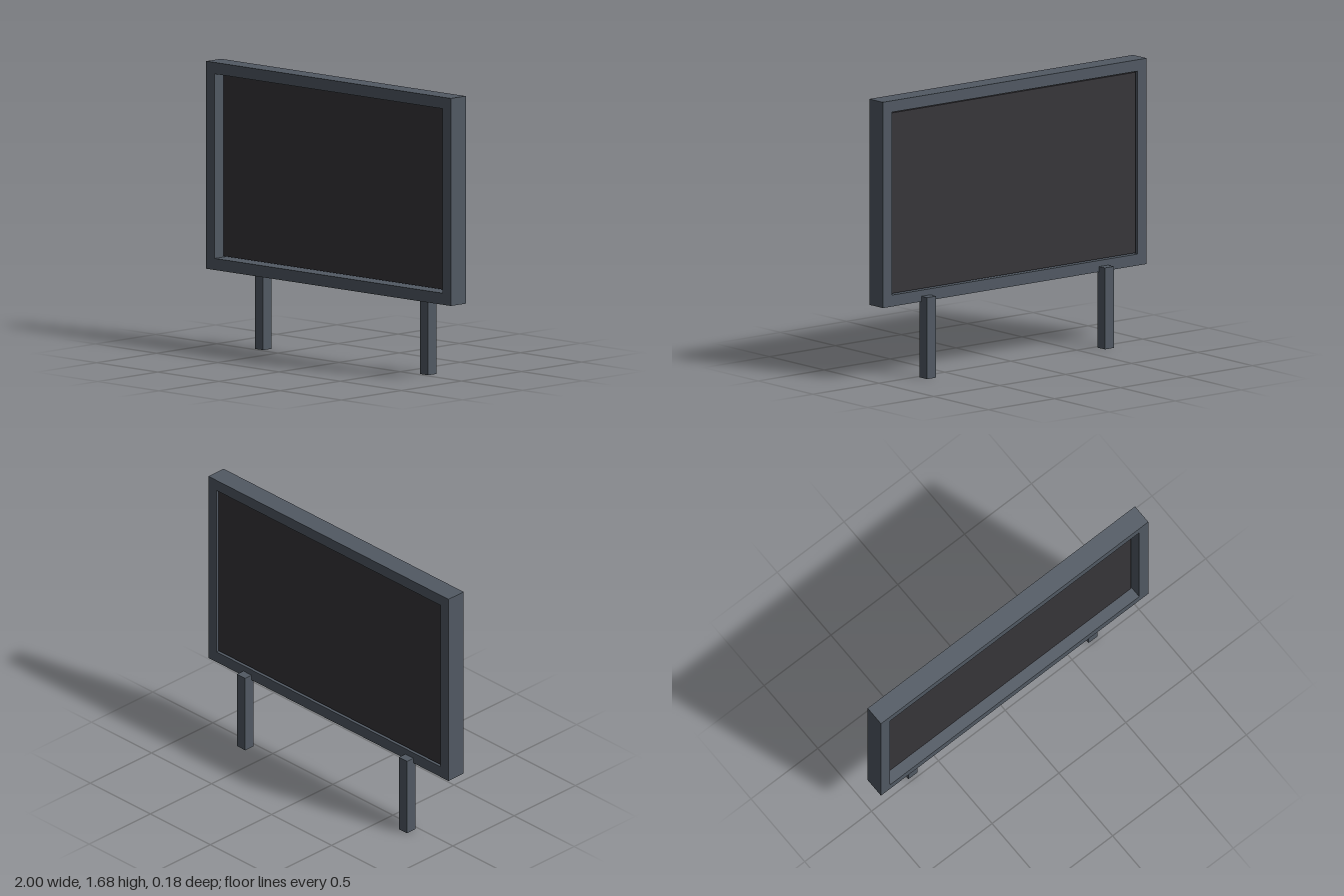
import * as THREE from 'three';

const frameMaterial = new THREE.MeshStandardMaterial({ color: 0x515963 });
frameMaterial.name = 'slate grey metal';
const panelMaterial = new THREE.MeshStandardMaterial({ color: 0x373539 });
panelMaterial.name = 'charcoal panel';

// Adds the corners of a rectangle centred on x = 0 to a shape or path
function rectangle(path, halfWidth, bottom, top) {
  path.moveTo(-halfWidth, bottom);
  path.lineTo(halfWidth, bottom);
  path.lineTo(halfWidth, top);
  path.lineTo(-halfWidth, top);
  path.closePath();
  return path;
}

function addMesh(group, name, geometry, material, x, y, z) {
  const mesh = new THREE.Mesh(geometry, material);
  mesh.name = name;
  mesh.position.set(x, y, z);
  group.add(mesh);
}

export function createModel() {
  const group = new THREE.Group();
  group.name = 'billboard';

  // Deep rectangular frame with an open middle
  const outline = rectangle(new THREE.Shape(), 1, 0.453, 1.678);
  outline.holes.push(rectangle(new THREE.Path(), 0.932, 0.521, 1.61));
  const frame = new THREE.ExtrudeGeometry(outline, { depth: 0.124, bevelEnabled: false });
  addMesh(group, 'frame', frame, frameMaterial, 0, 0, -0.036);

  // Display panel, set back in the frame with a narrow gap all round
  addMesh(group, 'displayPanel', new THREE.BoxGeometry(1.85, 1.075, 0.046), panelMaterial, 0, 1.0655, -0.003);

  // Square posts, lapped onto the back of the frame
  for (const [name, side] of [['leftPost', 1], ['rightPost', -1]]) {
    addMesh(group, name, new THREE.BoxGeometry(0.068, 0.485, 0.068), frameMaterial, side * 0.674, 0.2425, -0.054);
  }
  return group;
}
